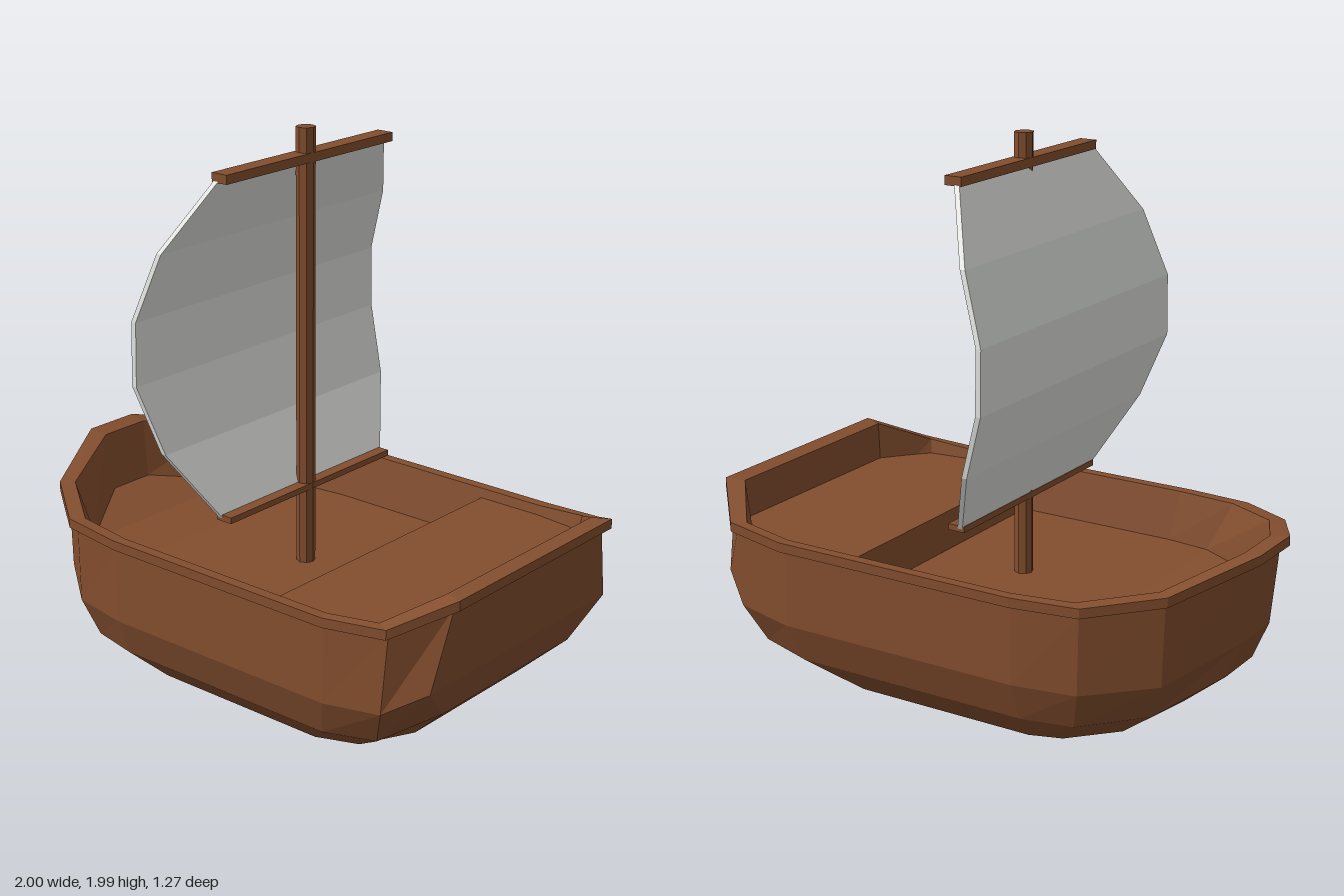
import * as THREE from 'three';

const wood = new THREE.MeshStandardMaterial({ color: 0x834e2e, flatShading: true });
wood.name = 'brown wood';
const cloth = new THREE.MeshStandardMaterial({ color: 0xe2e4e0, flatShading: true });
cloth.name = 'pale sailcloth';

// Lofts half outlines [x, z, y] (bow to stern on the +z side), mirrored across z.
function loft(halves, capBottom, capTop) {
  const n = halves[0].length, count = n * 2;
  const rings = halves.map(half => {
    const left = half.map(([x, z, y]) => [x, y, z]);
    const right = half.map(([x, z, y]) => [x, y, -z]).reverse();
    return [...left, ...right];
  });
  const positions = [];
  const quad = (a, b, c, d) => positions.push(...a, ...b, ...c, ...a, ...c, ...d);
  for (let r = 0; r < rings.length - 1; r++) {
    const a = rings[r], b = rings[r + 1];
    for (let i = 0; i < count; i++) {
      const j = (i + 1) % count;
      quad(a[i], a[j], b[j], b[i]);
    }
  }
  // Caps are strips running across the boat
  const first = rings[0], last = rings[rings.length - 1];
  for (let i = 0; i < n - 1; i++) {
    const m = count - 1 - i;
    if (capBottom) quad(first[m], first[m - 1], first[i + 1], first[i]);
    if (capTop) quad(last[i], last[i + 1], last[m - 1], last[m]);
  }
  const geometry = new THREE.BufferGeometry();
  geometry.setAttribute('position', new THREE.Float32BufferAttribute(positions, 3));
  geometry.computeVertexNormals();
  return geometry;
}

export function createModel() {
  const boat = new THREE.Group();
  boat.name = 'sailboat';
  const add = (name, geometry, material, x = 0, y = 0, z = 0) => {
    const mesh = new THREE.Mesh(geometry, material);
    mesh.name = name;
    mesh.position.set(x, y, z);
    boat.add(mesh);
  };

  // Hull outlines from keel to gunwale
  const keel = [[-0.7, 0.07, 0.08], [-0.58, 0.27, 0.02], [-0.42, 0.4, 0.005], [-0.3, 0.43, 0],
    [0.4, 0.43, 0], [0.57, 0.4, 0.02], [0.73, 0.3, 0.08]];
  const bilge = [[-0.88, 0.1, 0.23], [-0.74, 0.36, 0.15], [-0.54, 0.53, 0.13], [-0.35, 0.57, 0.13],
    [0.55, 0.57, 0.13], [0.75, 0.53, 0.15], [0.89, 0.36, 0.23]];
  const side = [[-0.94, 0.1, 0.37], [-0.8, 0.41, 0.29], [-0.58, 0.58, 0.27], [-0.35, 0.62, 0.27],
    [0.59, 0.62, 0.27], [0.81, 0.59, 0.29], [0.94, 0.5, 0.37]];
  const top = [[-0.97, 0.1, 0.66], [-0.81, 0.41, 0.59], [-0.585, 0.58, 0.555], [-0.35, 0.615, 0.55],
    [0.59, 0.615, 0.55], [0.83, 0.58, 0.57], [0.97, 0.42, 0.66]];
  add('hull', loft([keel, bilge, side, top], true, false), wood);

  // Overhanging rim
  const rimOuter = [[-1, 0.11, 0.695], [-0.83, 0.435, 0.62], [-0.6, 0.605, 0.59], [-0.35, 0.635, 0.585],
    [0.6, 0.635, 0.585], [0.84, 0.605, 0.605], [1, 0.435, 0.695]];
  const rimUnder = rimOuter.map(([x, z, y]) => [x, z, y - 0.035]);
  const rimInner = [[-0.93, 0.1, 0.685], [-0.785, 0.4, 0.62], [-0.56, 0.565, 0.59], [-0.33, 0.595, 0.585],
    [0.59, 0.595, 0.585], [0.79, 0.575, 0.605], [0.93, 0.41, 0.69]];
  add('rim', loft([top, rimUnder, rimOuter, rimInner], false, false), wood);

  // Inner walls and main deck
  const deck = [[-0.9, 0.09, 0.47], [-0.7, 0.4, 0.41], [-0.47, 0.54, 0.4], [-0.3, 0.56, 0.4],
    [0.59, 0.56, 0.4], [0.77, 0.54, 0.4], [0.91, 0.4, 0.4]];
  add('mainDeck', loft([rimInner, deck], false, true), wood);

  // Raised stern deck
  const sternDeck = y => [[0.34, 0.59, y], [0.59, 0.59, y], [0.78, 0.57, y], [0.93, 0.41, y]];
  add('sternDeck', loft([sternDeck(0.39), sternDeck(0.55)], false, true), wood);

  // Mast and the two yards
  add('mast', new THREE.CylinderGeometry(0.034, 0.034, 1.6, 8), wood, -0.01, 1.19, 0);
  add('upperYard', new THREE.BoxGeometry(0.065, 0.032, 0.86), wood, -0.01, 1.887, 0);
  add('lowerYard', new THREE.BoxGeometry(0.065, 0.022, 0.86), wood, -0.01, 0.695, 0);

  // Billowing sail: [front x, height, half width]
  const profile = [[-0.035, 0.695, 0.43], [-0.155, 0.94, 0.58], [-0.24, 1.175, 0.625],
    [-0.24, 1.4, 0.62], [-0.155, 1.64, 0.58], [-0.035, 1.875, 0.43]];
  const sail = profile.map(([x, y, w]) => [[x, w, y], [x + 0.02, w, y]]);
  add('sail', loft(sail, true, true), cloth);

  return boat;
}
